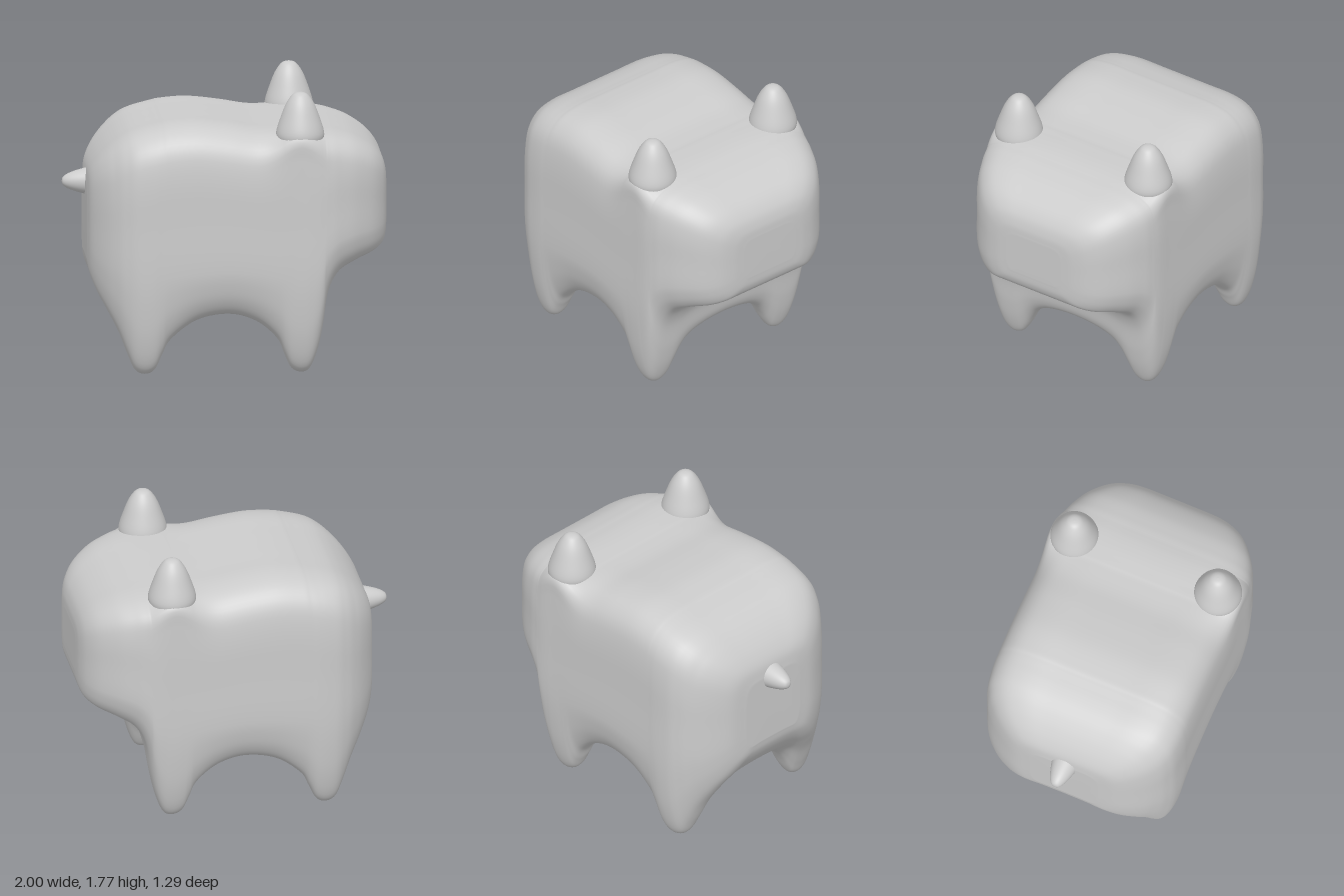
import * as THREE from 'three';

const material = new THREE.MeshStandardMaterial({ color: 0xcccccc });
const V = (x, y, z) => new THREE.Vector3(x, y, z);
const EAR_X = 0.445;

// Stations from rump to snout: x, back height, lowest edge, belly height at the middle, half width
const STATIONS = [
  [-0.86, 1.14, 0.68, 0.685, 0.22], [-0.845, 1.235, 0.6, 0.615, 0.335], [-0.805, 1.315, 0.5, 0.535, 0.43],
  [-0.745, 1.39, 0.39, 0.455, 0.518], [-0.68, 1.45, 0.265, 0.395, 0.58], [-0.625, 1.488, 0.125, 0.36, 0.612],
  [-0.58, 1.51, 0.03, 0.347, 0.63], [-0.52, 1.53, 0.003, 0.342, 0.64], [-0.46, 1.545, 0.03, 0.345, 0.645],
  [-0.415, 1.556, 0.12, 0.35, 0.645], [-0.36, 1.567, 0.22, 0.358, 0.645], [-0.2, 1.577, 0.34, 0.38, 0.645],
  [0, 1.555, 0.377, 0.392, 0.645], [0.17, 1.526, 0.33, 0.375, 0.645], [0.3, 1.52, 0.22, 0.35, 0.645],
  [0.35, 1.522, 0.11, 0.34, 0.645], [0.39, 1.523, 0.03, 0.333, 0.645], [0.45, 1.524, 0.003, 0.33, 0.645],
  [0.505, 1.522, 0.03, 0.335, 0.645], [0.55, 1.518, 0.14, 0.355, 0.643], [0.583, 1.513, 0.29, 0.41, 0.639],
  [0.615, 1.507, 0.5, 0.54, 0.633], [0.68, 1.494, 0.63, 0.635, 0.615], [0.79, 1.458, 0.695, 0.695, 0.564],
  [0.9, 1.39, 0.735, 0.735, 0.477], [0.965, 1.315, 0.775, 0.775, 0.383], [0.993, 1.24, 0.83, 0.83, 0.29],
  [1, 1.17, 0.9, 0.9, 0.2],
];

// Closed cross-section: broad rounded back, upright flanks, two legs with an arch between them
function section(x, top, low, belly, width) {
  const k = width / 0.645;
  const s = Math.min(1, (top - low) / 1.1);
  const d = Math.max(0, belly - low);
  const q = Math.min(1, 0.45 + 1.8 * d) * s;
  const e = Math.exp(-(((x - EAR_X) / 0.16) ** 2)); // fuller shoulder that carries the ear
  const half = [
    [0.2, top], [0.4, top - 0.003 * s], [0.53, top - (0.04 - 0.038 * e) * s],
    [0.61 + 0.02 * e, top - (0.13 - 0.108 * e) * s], [0.642, top - (0.29 - 0.13 * e) * s],
    [0.645, (top - 0.29 * s + low + 0.6 * q) / 2],
    [0.644, low + 0.6 * q], [0.63, low + 0.4 * q], [0.605, low + 0.22 * q],
    [0.565, low + 0.075 * q], [0.53, low + 0.02 * q], [0.485, low], [0.435, low + 0.05 * d],
    [0.4, low + 0.2 * d], [0.355, low + 0.48 * d], [0.3, low + 0.72 * d], [0.2, low + 0.9 * d],
  ];
  const left = half.map(([z, y]) => V(x, y, z * k));
  const right = half.map(([z, y]) => V(x, y, -z * k)).reverse();
  return new THREE.CatmullRomCurve3([V(x, top, 0), ...left, V(x, low + d, 0), ...right], true);
}

function bodyGeometry(rows = 189, cols = 144) {
  const upper = new THREE.CatmullRomCurve3(STATIONS.map(([x, t, l]) => V(x, t, l)), false, 'catmullrom', 0.5);
  const lower = new THREE.CatmullRomCurve3(STATIONS.map(([x, , , b, w]) => V(x, b, w)), false, 'catmullrom', 0.5);
  const positions = [];
  const index = [];
  for (let r = 0; r <= rows; r++) {
    const a = upper.getPoint(r / rows);
    const b = lower.getPoint(r / rows);
    const ring = section(a.x, a.y, a.z, b.y, b.z);
    for (let c = 0; c < cols; c++) positions.push(...ring.getPoint(c / cols).toArray());
  }
  for (let r = 0; r < rows; r++) {
    for (let c = 0; c < cols; c++) {
      const n = (c + 1) % cols;
      const i = r * cols;
      const j = i + cols;
      index.push(i + c, i + n, j + n, i + c, j + n, j + c);
    }
  }
  // Flat rump and snout faces
  const rump = positions.length / 3;
  const last = rows * cols;
  positions.push(-0.86, 0.91, 0, 1, 1.035, 0);
  for (let c = 0; c < cols; c++) {
    const n = (c + 1) % cols;
    index.push(n, c, rump, last + c, last + n, rump + 1);
  }
  const geometry = new THREE.BufferGeometry();
  geometry.setAttribute('position', new THREE.Float32BufferAttribute(positions, 3));
  geometry.setIndex(index);
  geometry.computeVertexNormals();
  return geometry;
}

// Round-tipped cone from a few [radius, height] points
function roundedCone(profile) {
  const curve = new THREE.SplineCurve(profile.map(([r, h]) => new THREE.Vector2(r, h)));
  const points = curve.getPoints(32).map((p) => p.setX(Math.max(0, p.x)));
  return new THREE.LatheGeometry(points, 48);
}

export function createModel() {
  const model = new THREE.Group();
  model.name = 'pig';
  const add = (name, geometry) => {
    const mesh = new THREE.Mesh(geometry, material);
    mesh.name = name;
    model.add(mesh);
    return mesh;
  };

  add('bodyWithLegs', bodyGeometry());

  // Ears
  const ear = roundedCone([
    [0.12, -0.16], [0.143, -0.06], [0.148, 0], [0.117, 0.1], [0.087, 0.175], [0.055, 0.224], [0.029, 0.243], [0, 0.248],
  ]);
  for (const side of [1, -1]) {
    add(side > 0 ? 'leftEar' : 'rightEar', ear).position.set(EAR_X, 1.522, side * 0.483);
  }

  // Tail
  const tail = add('tail', roundedCone([
    [0.1, -0.08], [0.08, 0], [0.063, 0.06], [0.045, 0.105], [0.024, 0.133], [0, 0.14],
  ]));
  tail.rotation.z = Math.PI / 2;
  tail.position.set(-0.86, 1.13, 0);

  return model;
}
